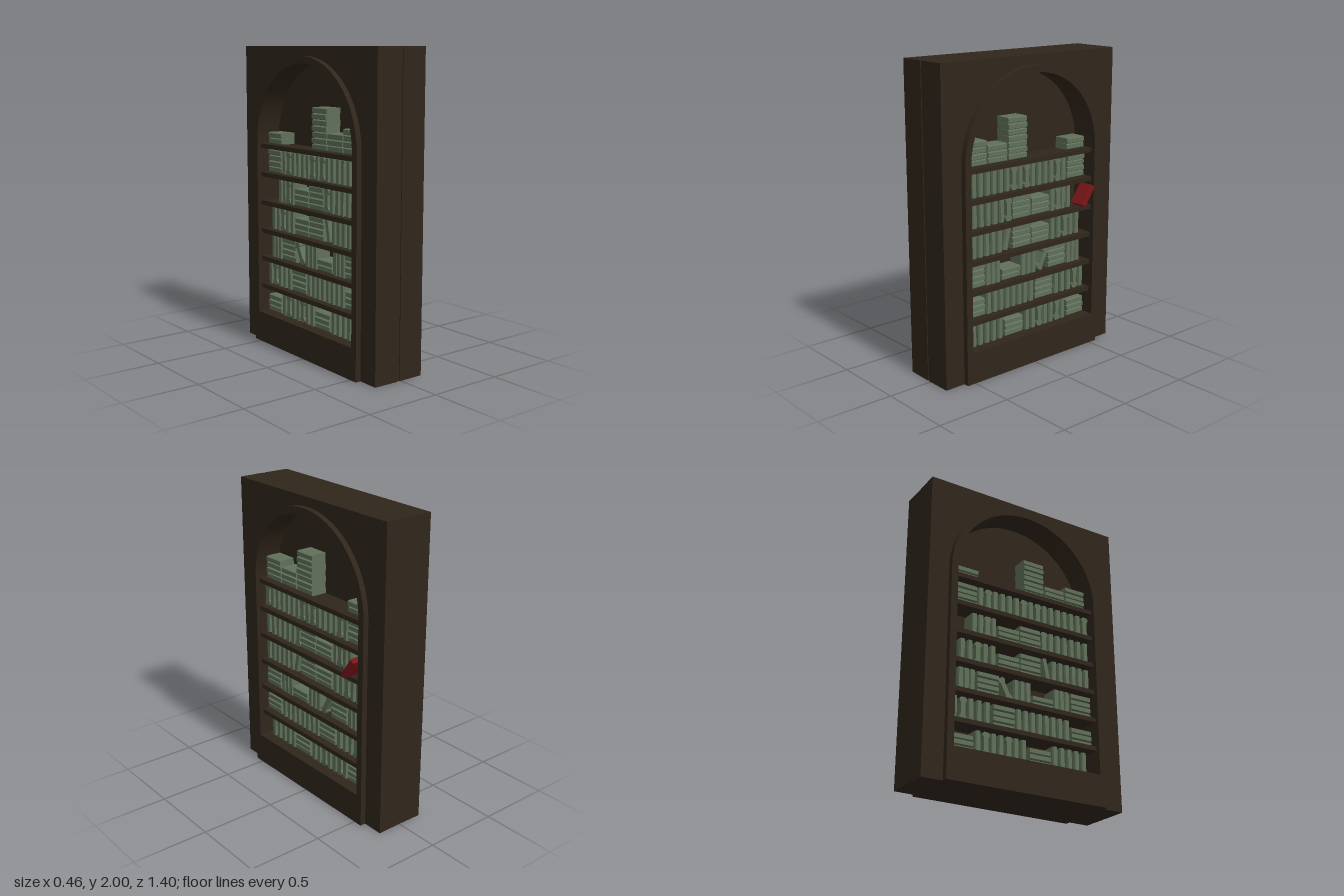
import * as THREE from 'three';

const wood = new THREE.MeshStandardMaterial({ color: 0x30261b });
const cloth = new THREE.MeshStandardMaterial({ color: 0x5f7059, flatShading: true });
const red = new THREE.MeshStandardMaterial({ color: 0x7a1518, flatShading: true });

const BOOK_H = 0.15, BOOK_T = 0.037, BACK = 0.02, FRONT = 0.13;
const PITCH = 0.192, BASE = 0.207, SPRING = 1.38;

function mesh(parent, geometry, material, name) {
  const m = new THREE.Mesh(geometry, material);
  m.name = name;
  parent.add(m);
  return m;
}

// Round-headed outline of half width r, from y = bottom up to the arch
function arch(type, r, bottom) {
  const s = new type();
  s.moveTo(-r, bottom);
  s.lineTo(r, bottom);
  s.lineTo(r, SPRING);
  s.absarc(0, SPRING, r, 0, Math.PI, false);
  s.lineTo(-r, bottom);
  return s;
}

// Extrude an upright (z, y) outline along x
function extrudeX(shape, x0, depth) {
  const g = new THREE.ExtrudeGeometry(shape, { depth, bevelEnabled: false, curveSegments: 28 });
  return g.rotateY(Math.PI / 2).translate(x0, 0, 0);
}

// Upright book, centred in thickness, with a chamfered spine at +x
function bookGeometry() {
  const t = BOOK_T / 2, n = t * 0.72;
  const s = new THREE.Shape([
    [BACK, -t], [FRONT - 0.012, -t], [FRONT, -n], [FRONT, n], [FRONT - 0.012, t], [BACK, t],
  ].map(p => new THREE.Vector2(...p)));
  return new THREE.ExtrudeGeometry(s, { depth: BOOK_H, bevelEnabled: false }).rotateX(-Math.PI / 2);
}

// Ornate book: waisted spine with flared ends
function waistedGeometry() {
  const a = 0.024, b = 0.016, H = BOOK_H;
  const half = [[a * 0.6, 0], [a, 0.01], [a, 0.024], [b, 0.036], [b, H - 0.036], [a, H - 0.024], [a, H - 0.01], [a * 0.6, H]];
  const pts = [...half, ...half.map(([z, y]) => [-z, y]).reverse()];
  return extrudeX(new THREE.Shape(pts.map(p => new THREE.Vector2(...p))), BACK, FRONT - BACK);
}

// Shelves from the bottom up. Each run: [type, z start, z end, count, indices of waisted books]
const ROWS = [
  [['row', 0.475, 0.205, 5], ['stack', 0.12, 3], ['row', 0.03, -0.34, 7, [2, 5]], ['stack', -0.425, 3]],
  [['stack', 0.435, 3], ['row', 0.35, -0.055, 8], ['stack', -0.138, 4], ['row', -0.225, -0.505, 5, [3]]],
  [['stack', 0.435, 4], ['row', 0.35, 0.23, 3], ['stack', 0.145, 2], ['row', 0.06, -0.07, 3],
    ['lean', -0.09, 0.48, true], ['stack', -0.252, 4], ['row', -0.34, -0.46, 3]],
  [['row', 0.515, 0.21, 6], ['lean', 0.195, 0.2, false], ['stack', 0.055, 4], ['stack', -0.105, 3],
    ['row', -0.19, -0.46, 5, [2]]],
  [['row', 0.515, 0.135, 7, [6]], ['stack', 0.055, 4], ['stack', -0.105, 3], ['row', -0.19, -0.375, 4, [1]]],
  [['row', 0.515, -0.335, 16, [0, 7, 9, 14]], ['stack', -0.415, 4]],
  [['stack', 0.412, 4], ['stack', 0.25, 3], ['stack', 0.087, 7], ['stack', -0.41, 2]],
];

// One case facing +x; s = -1 reverses the order of the books along z
function bookcase(s, name) {
  const half = new THREE.Group();
  half.name = name;

  // Body with its arched opening
  const body = new THREE.Shape([[-0.7, 0], [0.7, 0], [0.7, 2], [-0.7, 2]].map(p => new THREE.Vector2(...p)));
  body.holes.push(arch(THREE.Path, 0.515, 0.205));
  mesh(half, extrudeX(body, -0.01, 0.175), wood, 'caseBody');
  mesh(half, new THREE.BoxGeometry(0.035, 1.9, 1.2).translate(0, 0.99, 0), wood, 'backPanel');

  // Raised surround and plinth
  const trim = arch(THREE.Shape, 0.56, 0);
  trim.holes.push(arch(THREE.Path, 0.515, 0.205));
  mesh(half, extrudeX(trim, 0.165, 0.037), wood, 'archTrim');

  const plank = new THREE.BoxGeometry(0.165, 0.03, 1.03);
  const book = bookGeometry(), waisted = waistedGeometry();

  ROWS.forEach((runs, r) => {
    const y = BASE + r * PITCH;
    if (r > 0) mesh(half, plank, wood, 'shelf').position.set(0.09, y - 0.016, 0);
    for (const [type, z, a, b, c = []] of runs) {
      if (type === 'row') {
        // upright books
        for (let i = 0; i < b; i++) {
          const special = c.includes(i);
          const m = mesh(half, special ? waisted : book, cloth, special ? 'waistedBook' : 'uprightBook');
          m.position.set(0, y, s * (z + (a - z) * (i + 0.5) / b));
        }
      } else if (type === 'stack') {
        // books lying flat
        for (let i = 0; i < a; i++) {
          const m = mesh(half, book, cloth, 'flatBook');
          m.rotation.x = Math.PI / 2;
          m.position.set(i % 2 ? 0.002 : -0.002, y + (i + 0.5) * 0.038, s * z - BOOK_H / 2);
        }
      } else {
        // leaning book
        const m = mesh(half, b ? waisted : book, cloth, 'leaningBook');
        m.rotation.x = -s * a;
        m.position.set(0, y + 0.008, s * (z - 0.005));
      }
    }
  });
  return half;
}

export function createModel() {
  const model = new THREE.Group();
  model.name = 'doubleSidedBookcase';

  const main = bookcase(1, 'rightCase');
  model.add(main);

  // Second case back to back, turned slightly out of line
  const rear = bookcase(-1, 'leftCase');
  rear.rotation.y = Math.PI - 0.025;
  rear.position.x = -0.018;
  model.add(rear);

  // Core between the two cases
  mesh(model, new THREE.BoxGeometry(0.05, 1.998, 1.39).translate(-0.01, 1, 0), wood, 'core');

  // Red book pulled out of its shelf
  const pulled = new THREE.Group();
  pulled.name = 'redBook';
  mesh(pulled, bookGeometry(), red, 'redCover').position.x = 0.098;
  for (const side of [-1, 1])
    mesh(pulled, new THREE.BoxGeometry(0.06, 0.09, 0.003), red, 'coverPanel')
      .position.set(0.178, BOOK_H / 2, side * BOOK_T / 2);
  pulled.position.set(0, 0.99, -0.402);
  pulled.rotation.x = -0.6;
  model.add(pulled);

  return model;
}
